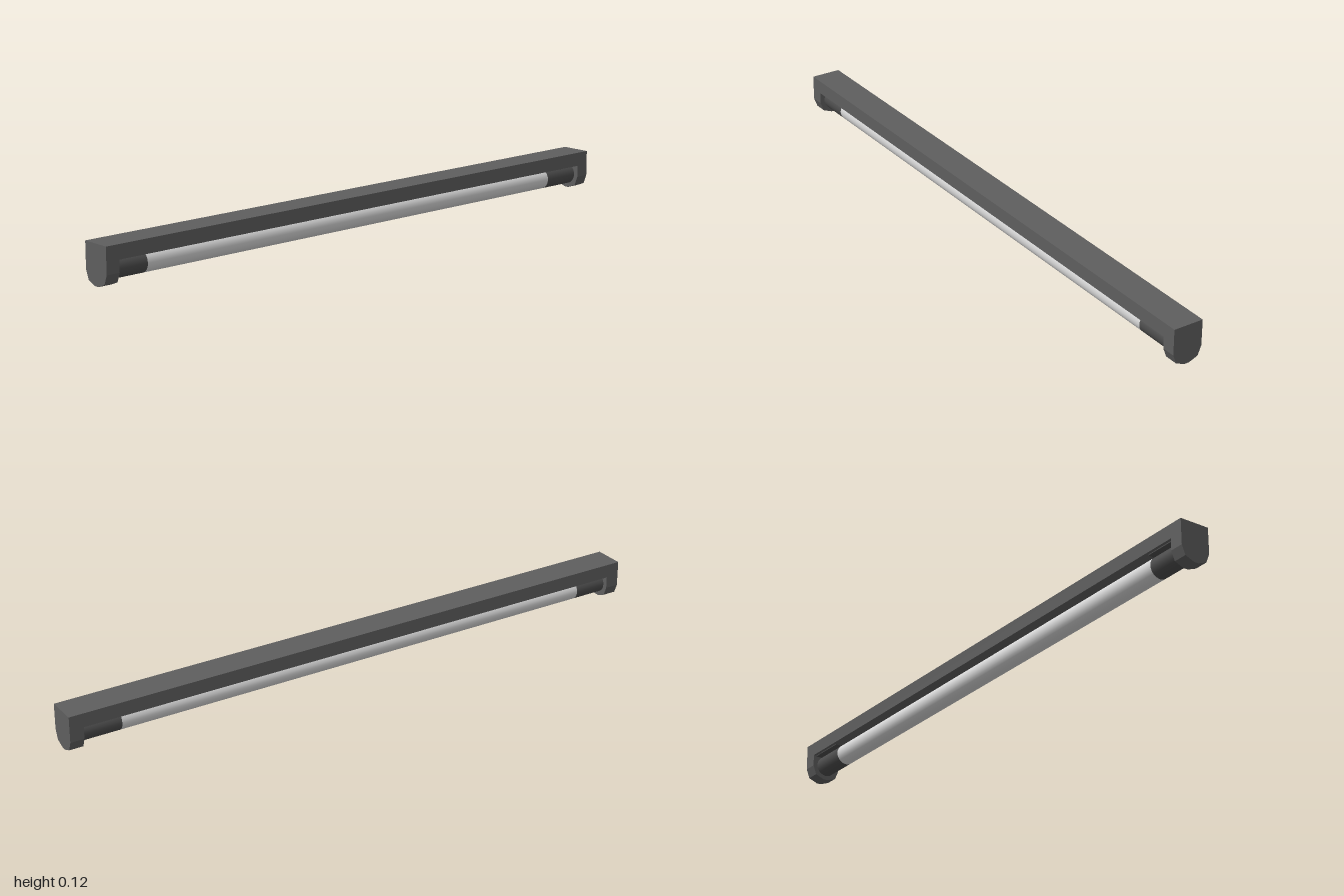
import * as THREE from 'three';

export function createModel() {
  const group = new THREE.Group();
  const housingGrey = new THREE.MeshStandardMaterial({ color: 0x5e5e5e });
  const darkGrey = new THREE.MeshStandardMaterial({ color: 0x4c4c4c });
  const lampWhite = new THREE.MeshStandardMaterial({ color: 0xd6d6d6 });

  const add = (name, geometry, material, x = 0, y = 0, z = 0) => {
    const mesh = new THREE.Mesh(geometry, material);
    mesh.name = name;
    mesh.position.set(x, y, z);
    group.add(mesh);
    return mesh;
  };

  // Long housing between the end caps
  add('housing', new THREE.BoxGeometry(1.91, 0.045, 0.099), housingGrey, 0, 0.1025, 0);

  // End caps: square on top, bevelled to a narrow foot
  const profile = new THREE.Shape([
    [-0.0495, 0.125], [-0.0495, 0.042], [-0.038, 0.012], [-0.008, 0],
    [0.008, 0], [0.038, 0.012], [0.0495, 0.042], [0.0495, 0.125],
  ].map(([z, y]) => new THREE.Vector2(z, y)));
  const capGeometry = new THREE.ExtrudeGeometry(profile, { depth: 0.045, bevelEnabled: false });
  capGeometry.rotateY(Math.PI / 2);
  add('leftEndCap', capGeometry, housingGrey, 0.955);
  add('rightEndCap', capGeometry, housingGrey, -1);

  // Lamp tube: white middle with dark sleeves at both ends
  const tube = (name, x0, x1, material) => {
    const geometry = new THREE.CylinderGeometry(0.034, 0.034, x1 - x0, 24, 1, true);
    geometry.rotateZ(Math.PI / 2);
    add(name, geometry, material, (x0 + x1) / 2, 0.048, 0);
  };
  tube('lampTube', -0.845, 0.825, lampWhite);
  tube('rightSleeve', -0.956, -0.845, darkGrey);
  tube('leftSleeve', 0.825, 0.956, darkGrey);

  // Dark plates under the housing above the sleeves
  add('rightPlate', new THREE.BoxGeometry(0.11, 0.004, 0.08), darkGrey, -0.9, 0.079, 0);
  add('leftPlate', new THREE.BoxGeometry(0.13, 0.004, 0.08), darkGrey, 0.89, 0.079, 0);

  return group;
}
